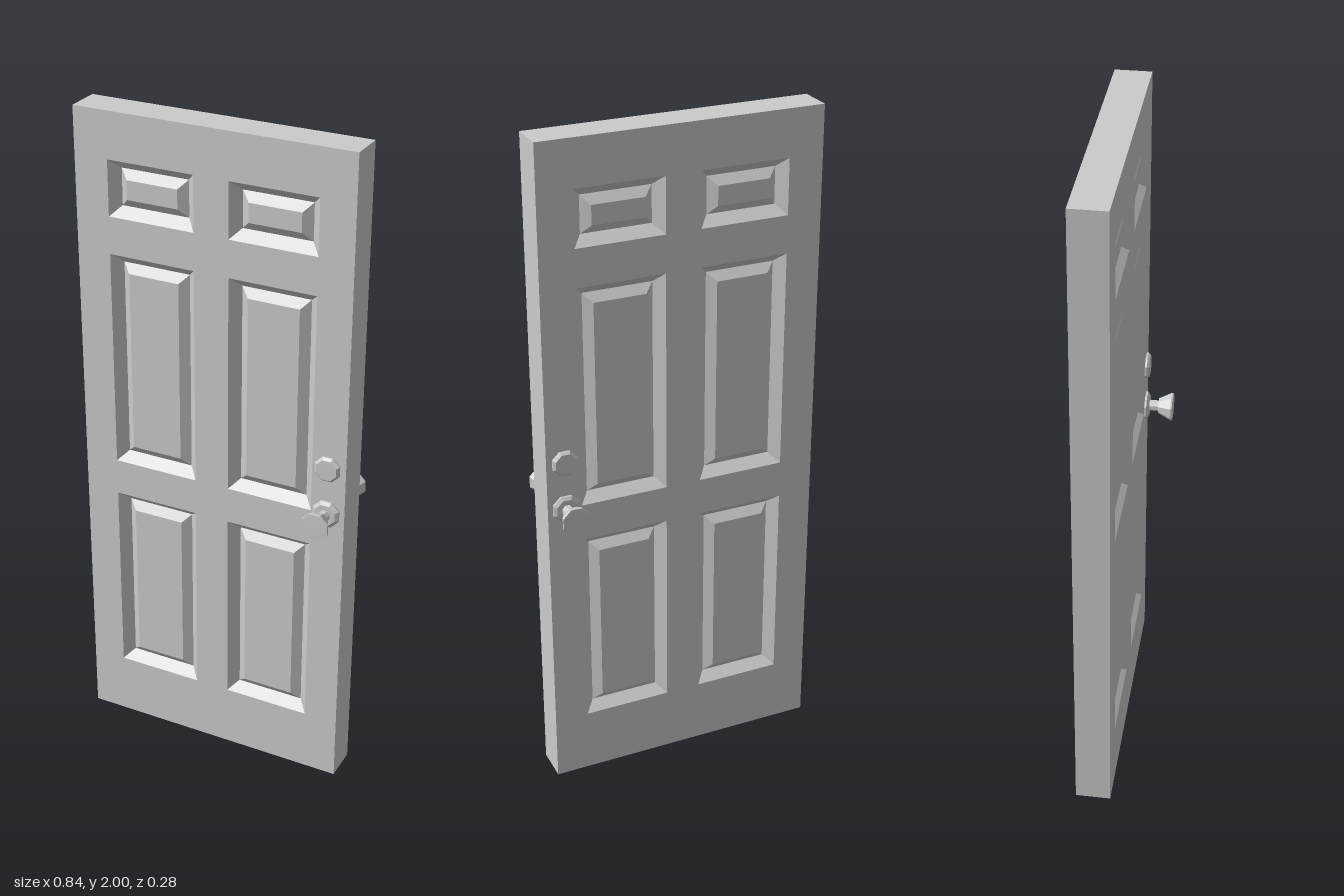
import * as THREE from 'three';

const W = 0.84, H = 2, D = 0.053; // door width, height, half thickness
const PANEL_X = 0.185, PANEL_W = 0.264;
const PANEL_ROWS = [[0.197, 0.81], [0.922, 1.585], [1.697, 1.862]]; // bottom, top of each row
const LOCK_X = 0.365;

const material = new THREE.MeshStandardMaterial({ color: 0xcccccc, flatShading: true });

function addMesh(parent, name, geometry) {
  const mesh = new THREE.Mesh(geometry, material);
  mesh.name = name;
  parent.add(mesh);
  return mesh;
}

// Joins rectangular rings [width, height, z] with sloping walls, optionally closing the last one
function rectLoft(rings, capped) {
  const positions = [], index = [];
  for (const [w, h, z] of rings) {
    for (const [sx, sy] of [[-1, -1], [1, -1], [1, 1], [-1, 1]]) {
      positions.push(sx * w / 2, sy * h / 2, z);
    }
  }
  for (let r = 0; r < rings.length - 1; r++) {
    for (let i = 0; i < 4; i++) {
      const a = r * 4 + i, b = r * 4 + (i + 1) % 4;
      index.push(a, b, b + 4, a, b + 4, a + 4);
    }
  }
  if (capped) {
    const k = (rings.length - 1) * 4;
    index.push(k, k + 1, k + 2, k, k + 2, k + 3);
  }
  const geometry = new THREE.BufferGeometry();
  geometry.setAttribute('position', new THREE.Float32BufferAttribute(positions, 3));
  geometry.setIndex(index);
  geometry.computeVertexNormals();
  return geometry;
}

function rectangle(PathType, x0, y0, x1, y1) {
  return new PathType([[x0, y0], [x1, y0], [x1, y1], [x0, y1]].map(([x, y]) => new THREE.Vector2(x, y)));
}

// Eight-sided turned part, pointing along +z from the door face
function turned(profile) {
  const points = profile.map(([r, z]) => new THREE.Vector2(r, z));
  return new THREE.LatheGeometry(points, 8, Math.PI / 8).rotateX(Math.PI / 2);
}

// One face of the door: flat frame with six grooved, raised panels
function createFace() {
  const face = new THREE.Group();
  const outline = rectangle(THREE.Shape, -W / 2, 0, W / 2, H);
  for (const [y0, y1] of PANEL_ROWS) {
    for (const side of [-1, 1]) {
      const x = side * PANEL_X, h = y1 - y0;
      outline.holes.push(rectangle(THREE.Path, x - PANEL_W / 2, y0, x + PANEL_W / 2, y1));
      const panel = addMesh(face, 'raisedPanel', rectLoft([
        [PANEL_W, h, 0],
        [PANEL_W - 0.056, h - 0.056, -0.03],
        [PANEL_W - 0.108, h - 0.108, -0.01],
      ], true));
      panel.position.set(x, (y0 + y1) / 2, D);
    }
  }
  addMesh(face, 'faceFrame', new THREE.ShapeGeometry(outline)).position.z = D;
  return face;
}

// Knob with its rose, and the deadbolt above it
function createHardware() {
  const hardware = new THREE.Group();
  const rose = [[0.043, 0], [0.043, 0.006], [0.033, 0.013], [0, 0.013]];
  const parts = [
    ['deadbolt', 1.07, [[0.04, 0], [0.04, 0.006], [0.033, 0.013], [0, 0.013]]],
    ['knobRose', 0.925, rose],
    ['knobStem', 0.925, [[0.017, 0.01], [0.017, 0.044]]],
    ['knob', 0.925, [[0, 0.041], [0.024, 0.041], [0.036, 0.064], [0.044, 0.08], [0.043, 0.085], [0, 0.086]]],
  ];
  for (const [name, y, profile] of parts) {
    addMesh(hardware, name, turned(profile)).position.set(0, y, D);
  }
  return hardware;
}

export function createModel() {
  const model = new THREE.Group();
  model.name = 'panelDoor';

  // Outer edges of the slab
  addMesh(model, 'doorEdges', rectLoft([[W, H, -D], [W, H, D]], false)).position.y = H / 2;

  // Identical front and back
  for (const [side, angle] of [['front', 0], ['back', Math.PI]]) {
    const face = createFace();
    face.name = side + 'Face';
    face.rotation.y = angle;

    const hardware = createHardware();
    hardware.name = side + 'Hardware';
    hardware.position.x = LOCK_X;
    hardware.rotation.y = angle;

    model.add(face, hardware);
  }
  return model;
}
